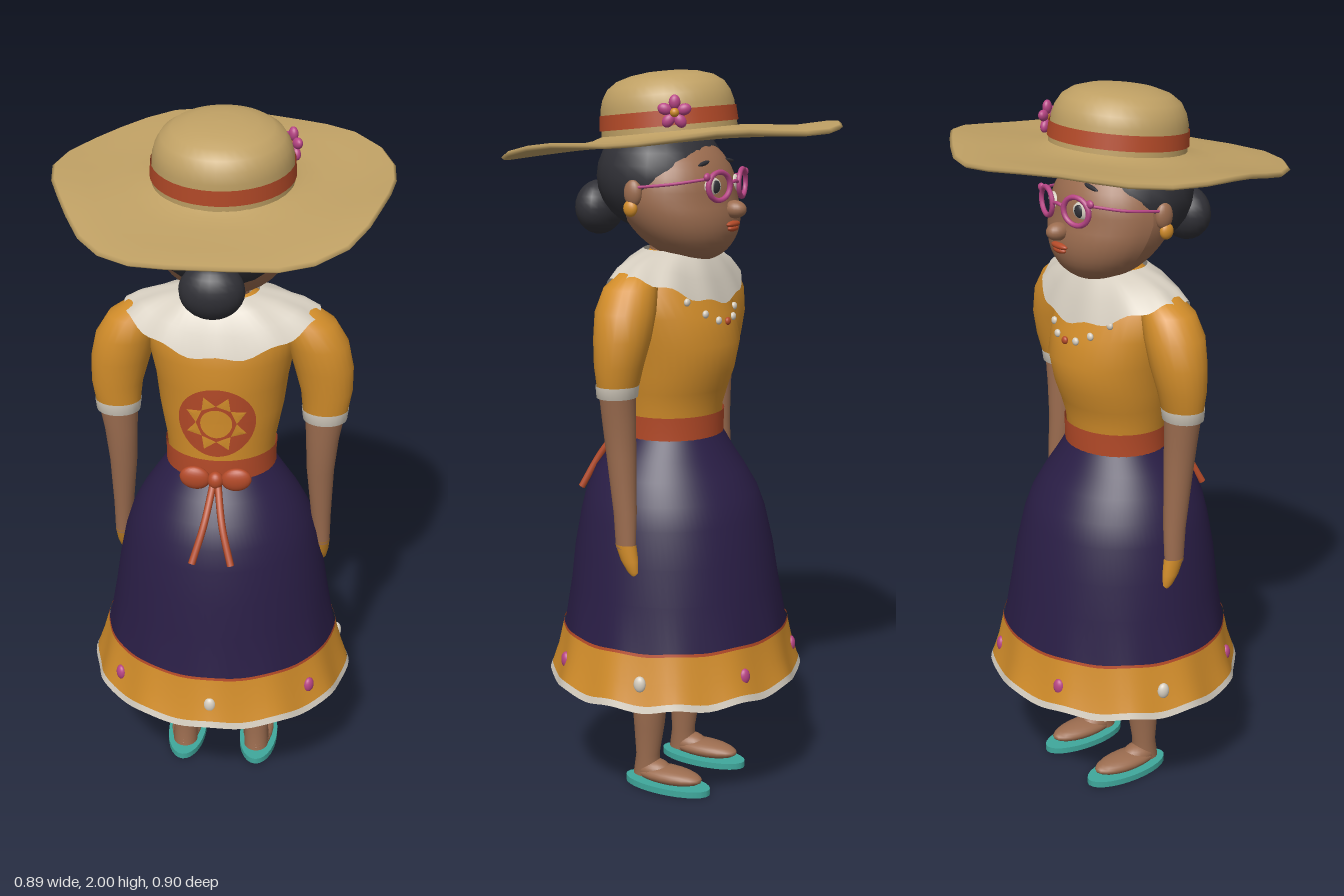
import * as THREE from 'three';

const mat = (name, color, side = THREE.FrontSide) => {
  const m = new THREE.MeshStandardMaterial({ color, side });
  m.name = name;
  return m;
};

// Closed surface from rings: rows run upwards, f(row, angle) gives [x, y, z]
function rings(rows, f, n = 40) {
  const pos = [], idx = [];
  rows.forEach((row, j) => {
    for (let i = 0; i < n; i++) {
      pos.push(...f(row, i / n * Math.PI * 2, i));
      if (j === rows.length - 1) continue;
      const a = j * n + i, b = j * n + (i + 1) % n;
      idx.push(a, b, a + n, b, b + n, a + n);
    }
  });
  const g = new THREE.BufferGeometry();
  g.setAttribute('position', new THREE.Float32BufferAttribute(pos, 3));
  g.setIndex(idx);
  g.computeVertexNormals();
  return g;
}
// Row: [centre x, y, centre z, radius x, radius z]
const ellipse = ([x, y, z, rx, rz], a) => [x + rx * Math.sin(a), y, z + rz * Math.cos(a)];
const rowAt = (rows, y) => {
  let i = 0;
  while (i < rows.length - 2 && rows[i + 1][1] < y) i++;
  const t = (y - rows[i][1]) / (rows[i + 1][1] - rows[i][1]);
  return rows[i].map((v, k) => v + (rows[i + 1][k] - v) * t);
};

export function createModel() {
  const skin = mat('skin', 0x9b6c4f), yellow = mat('marigold', 0xd28d2a), purple = mat('purple', 0x2a1e46, THREE.DoubleSide),
    straw = mat('straw', 0xbfa064, THREE.DoubleSide), black = mat('hair black', 0x303036), cream = mat('cream', 0xd6cec0, THREE.DoubleSide),
    red = mat('rust red', 0xb44a28, THREE.DoubleSide), pink = mat('pink', 0xb84585), teal = mat('teal', 0x3fa89c);
  const model = new THREE.Group();
  const add = (name, geo, m, parent = model) => {
    const mesh = new THREE.Mesh(geo, m);
    mesh.name = name;
    parent.add(mesh);
    return mesh;
  };
  const ball = (name, m, p, r, parent) => {
    const s = add(name, new THREE.SphereGeometry(1, 20, 14), m, parent);
    s.position.set(...p);
    s.scale.set(...r);
    return s;
  };
  const tube = (name, m, pts, r, parent) => add(name, new THREE.TubeGeometry(
    new THREE.CatmullRomCurve3(pts.map(p => new THREE.Vector3(...p))), 16, r, 8), m, parent);

  // Skirt, painted border and hem
  const skirtRows = [[0, .33, 0, .367, .342], [0, .4, 0, .345, .321], [0, .48, 0, .325, .307], [0, .6, .002, .305, .288],
    [0, .7, .005, .29, .275], [0, .8, .008, .27, .254], [0, .86, .012, .25, .236], [0, .92, .017, .22, .205],
    [0, .97, .015, .187, .17], [0, 1.03, .01, .146, .133]];
  const skirtPart = (name, m, ys, grow) => add(name, rings(ys.map(y => rowAt(skirtRows, y)), (r, a) => {
    const k = Math.min(1, Math.max(0, (.55 - r[1]) / .22)), w = k * Math.cos(12 * a);
    const s = 1 + .014 * w;
    return [(r[3] + grow) * s * Math.sin(a), r[1] + .007 * w, r[2] + (r[4] + grow) * s * Math.cos(a)];
  }, 96), m);
  skirtPart('skirt', purple, skirtRows.map(r => r[1]), 0);
  skirtPart('skirtBorder', yellow, [.343, .4, .47], .004);
  skirtPart('borderStripe', red, [.47, .478], .005);
  skirtPart('skirtHem', cream, [.328, .346], .005);
  for (let i = 0; i < 7; i++) {
    const a = i / 7 * Math.PI * 2;
    const bead = ball('skirtBead', [0, 2, 5].includes(i) ? cream : pink,
      [.345 * Math.sin(a), .395, .325 * Math.cos(a)], [.017, .023, .013]);
    bead.rotation.y = a;
  }

  // Torso and waistband
  const torsoRows = [[0, 1.03, .01, .144, .13], [0, 1.1, .008, .15, .133], [0, 1.15, .002, .16, .142], [0, 1.2, -.006, .17, .152],
    [0, 1.28, -.012, .18, .162], [0, 1.36, 0, .195, .152], [0, 1.43, .01, .2, .13], [0, 1.49, .01, .16, .1], [0, 1.53, .005, .08, .06]];
  add('bodice', rings(torsoRows, ellipse), yellow);
  add('waistband', rings([[0, 1.02, .01, .152, .138], [0, 1.05, .01, .152, .139], [0, 1.085, .009, .154, .139]], ellipse), red);
  add('neck', new THREE.CylinderGeometry(.07, .075, .14, 20), skin).position.set(0, 1.53, 0);

  // Ruffled collar
  add('collar', rings([[0, 1.395, .004, .262, .157, .083], [0, 1.455, .004, .222, .137, .048], [0, 1.505, .002, .165, .11, .015], [0, 1.532, 0, .1, .085, 0]], (r, a) => {
    const p = ellipse(r, a);
    p[1] += r[5] * (Math.sin(a) ** 2 + .08 * Math.cos(11 * a));
    return p;
  }, 66), cream);

  // Sun emblem bent onto the back of the bodice
  const emblem = new THREE.Group();
  emblem.name = 'sunEmblem';
  model.add(emblem);
  const patch = (name, m, geo, lift) => {
    const p = geo.attributes.position;
    for (let i = 0; i < p.count; i++) {
      const r = rowAt(torsoRows, p.getY(i) + 1.2), x = p.getX(i);
      p.setXYZ(i, x, p.getY(i) + 1.2, r[2] + r[4] * Math.sqrt(1 - (x / r[3]) ** 2) + lift);
    }
    geo.computeVertexNormals();
    add(name, geo, m, emblem);
  };
  patch('emblemDisc', red, new THREE.RingGeometry(0, .104, 40, 8), .004);
  patch('sunCentre', yellow, new THREE.RingGeometry(0, .043, 24, 3), .007);
  for (let i = 0; i < 8; i++) {
    const ray = new THREE.RingGeometry(0, .024, 3, 3);
    patch('sunRay', yellow, ray.translate(.063, 0, 0).rotateZ(i * Math.PI / 4 + Math.PI / 8), .007);
  }

  // Bow at the back and beads on the chest
  ball('bowKnot', red, [0, 1.035, .165], [.022, .025, .02]);
  for (const s of [-1, 1]) {
    ball('bowLoop', red, [s * .056, 1.04, .165], [.042, .034, .018]).rotation.z = s * .2;
    tube('bowTail', red, [[s * .005, 1.03, .16], [s * .025, .93, .232], [s * .053, .835, .278]], .01);
  }
  for (let i = -3; i <= 3; i++) {
    const x = i * .042, y = 1.34 + x * x * 4, r = rowAt(torsoRows, y);
    ball('chestBead', i ? cream : red, [x, y, r[2] - r[4] * Math.sqrt(1 - (x / r[3]) ** 2) - .002], [.011, .011, .008]);
  }

  // Arms and legs, mirrored
  for (const s of [-1, 1]) {
    const limb = (name, m, rows) => add(name, rings(rows.map(([x, ...r]) => [x * s, ...r]), ellipse, 24), m);
    limb('sleeve', yellow, [[.283, 1.19, .02, .061, .053], [.285, 1.25, .015, .07, .064], [.275, 1.32, .01, .08, .075],
      [.257, 1.39, .01, .083, .08], [.229, 1.45, .01, .075, .07], [.2, 1.485, .005, .05, .05], [.17, 1.5, 0, .005, .005]]);
    limb('sleeveCuff', cream, [[.283, 1.165, .022, .05, .045], [.283, 1.166, .022, .06, .053], [.283, 1.198, .021, .064, .056]]);
    limb('arm', skin, [[.285, .755, -.002, .022, .028], [.28, .85, .002, .028, .032], [.275, 1, .015, .038, .04],
      [.278, 1.1, .02, .045, .045], [.283, 1.18, .022, .054, .047]]);
    limb('hand', yellow, [[.285, .675, -.028, .003, .004], [.285, .69, -.025, .013, .016], [.285, .72, -.014, .019, .025], [.285, .765, -.002, .023, .03]]);
    limb('leg', skin, [[.108, .03, .035, .036, .04], [.107, .09, .033, .036, .033], [.107, .18, .028, .046, .043],
      [.108, .3, .025, .056, .053], [.108, .42, .022, .055, .055], [.1, .6, .02, .065, .07]]);
    limb('underLegging', purple, [[.106, .4, .022, .066, .066], [.1, .62, .02, .078, .08]]);
    ball('foot', skin, [s * .11, .038, -.033], [.046, .025, .108]);
    ball('instep', skin, [s * .109, .045, .015], [.038, .032, .058]);
    const sole = add('sandal', new THREE.CylinderGeometry(1, 1, .018, 28), [teal, teal, purple]);
    sole.position.set(s * .11, .009, -.033);
    sole.scale.set(.057, 1, .133);
  }

  // Head with a chin pushed towards the face
  const push = y => .34 * Math.max(0, 1.67 - y);
  const faceZ = (x, y) => -.003 - .16 * Math.sqrt(1 - (x / .18) ** 2 - ((y - 1.67) / .172) ** 2) - push(y);
  const headGeo = new THREE.SphereGeometry(1, 36, 26).scale(.18, .172, .16).translate(0, 1.67, -.003);
  const hp = headGeo.attributes.position;
  for (let i = 0; i < hp.count; i++) hp.setZ(i, hp.getZ(i) - push(hp.getY(i)));
  headGeo.computeVertexNormals();
  add('head', headGeo, skin);
  ball('hair', black, [0, 1.725, .044], [.187, .155, .172]);
  ball('hairBun', black, [0, 1.63, .24], [.084, .075, .062]);
  ball('nose', skin, [0, 1.642, -.178], [.026, .024, .033]);
  ball('upperLip', red, [0, 1.603, faceZ(0, 1.603)], [.034, .009, .012]);
  ball('lowerLip', red, [0, 1.592, faceZ(0, 1.592)], [.026, .009, .012]);
  tube('glassesBridge', pink, [[-.025, 1.712, -.174], [0, 1.717, -.178], [.025, 1.712, -.174]], .005);
  for (const s of [-1, 1]) {
    ball('ear', skin, [s * .18, 1.69, .03], [.018, .036, .026]);
    ball('earring', yellow, [s * .186, 1.65, .035], [.014, .022, .02]);
    ball('eyeWhite', cream, [s * .065, 1.705, faceZ(.065, 1.705) + .004], [.03, .024, .012]).rotation.y = -s * .3;
    ball('iris', black, [s * .063, 1.705, faceZ(.065, 1.705) - .005], [.015, .017, .007]).rotation.y = -s * .3;
    ball('eyebrow', black, [s * .068, 1.765, faceZ(.068, 1.765)], [.034, .006, .006]).rotation.z = -s * .12;
    const rim = add('glassesRim', new THREE.TorusGeometry(.037, .007, 8, 28), pink);
    rim.position.set(s * .067, 1.707, -.166);
    rim.rotation.y = -s * .25;
    rim.scale.x = 1.15;
    ball('glassesCorner', pink, [s * .111, 1.733, -.153], [.013, .011, .008]);
    tube('glassesArm', pink, [[s * .113, 1.728, -.151], [s * .165, 1.716, -.08], [s * .187, 1.705, .02]], .004);
  }

  // Hat: wavy brim, crown, ribbon and flower
  const hat = new THREE.Group();
  hat.name = 'hat';
  model.add(hat);
  const edge = [[0, -.455], [-.09, -.445], [-.175, -.405], [-.245, -.345], [-.31, -.285], [-.37, -.22], [-.425, -.13], [-.445, -.035],
    [-.43, .06], [-.4, .14], [-.365, .22], [-.32, .31], [-.26, .385], [-.18, .435], [-.09, .45], [.05, .44], [.18, .42], [.265, .385],
    [.34, .32], [.385, .23], [.41, .14], [.43, .05], [.442, -.04], [.437, -.13], [.4, -.22], [.33, -.295], [.25, -.345], [.18, -.385], [.09, -.43]];
  const brimRows = [[0, -.006], [.3, -.009], [.65, -.009], [.97, -.007], [1, 0], [.97, .007], [.65, .006], [.3, .006], [.1, .012], [0, .022]];
  add('brim', rings(brimRows, ([k, dy], _, i) => {
    const [ex, ez] = edge[i], a = Math.atan2(ex, ez);
    const x = (.005 + .18 * Math.sin(a)) * (1 - k) + ex * k, z = (.015 + .18 * Math.cos(a)) * (1 - k) + ez * k;
    return [x, 1.823 - .1 * z + dy + k * k * (-.008 * Math.cos(2 * a) + .008 * Math.cos(5 * a + .6)), z];
  }, edge.length), straw, hat);
  const top = new THREE.Group();
  top.name = 'hatTop';
  top.position.set(.005, 1.82, .015);
  top.rotation.x = .1;
  hat.add(top);
  const profile = [[.184, 0], [.182, .05], [.18, .09], [.172, .118], [.157, .143], [.13, .162], [.09, .174], [.045, .18], [0, .181]];
  add('crown', new THREE.LatheGeometry(profile.map(p => new THREE.Vector2(...p)), 40), straw, top);
  add('ribbon', new THREE.CylinderGeometry(.184, .187, .04, 40, 1, true), red, top).position.y = .057;
  const flower = new THREE.Group();
  flower.name = 'hatFlower';
  flower.position.set(.17, 1.9, -.088);
  flower.rotation.y = Math.atan2(.85, -.5);
  hat.add(flower);
  for (let i = 0; i < 5; i++) {
    const a = i / 5 * Math.PI * 2 + .3;
    ball('petal', pink, [.026 * Math.cos(a), .026 * Math.sin(a), .004], [.019, .015, .012], flower).rotation.z = a;
  }
  ball('flowerCentre', yellow, [0, 0, .009], [.012, .012, .012], flower);
  return model;
}
